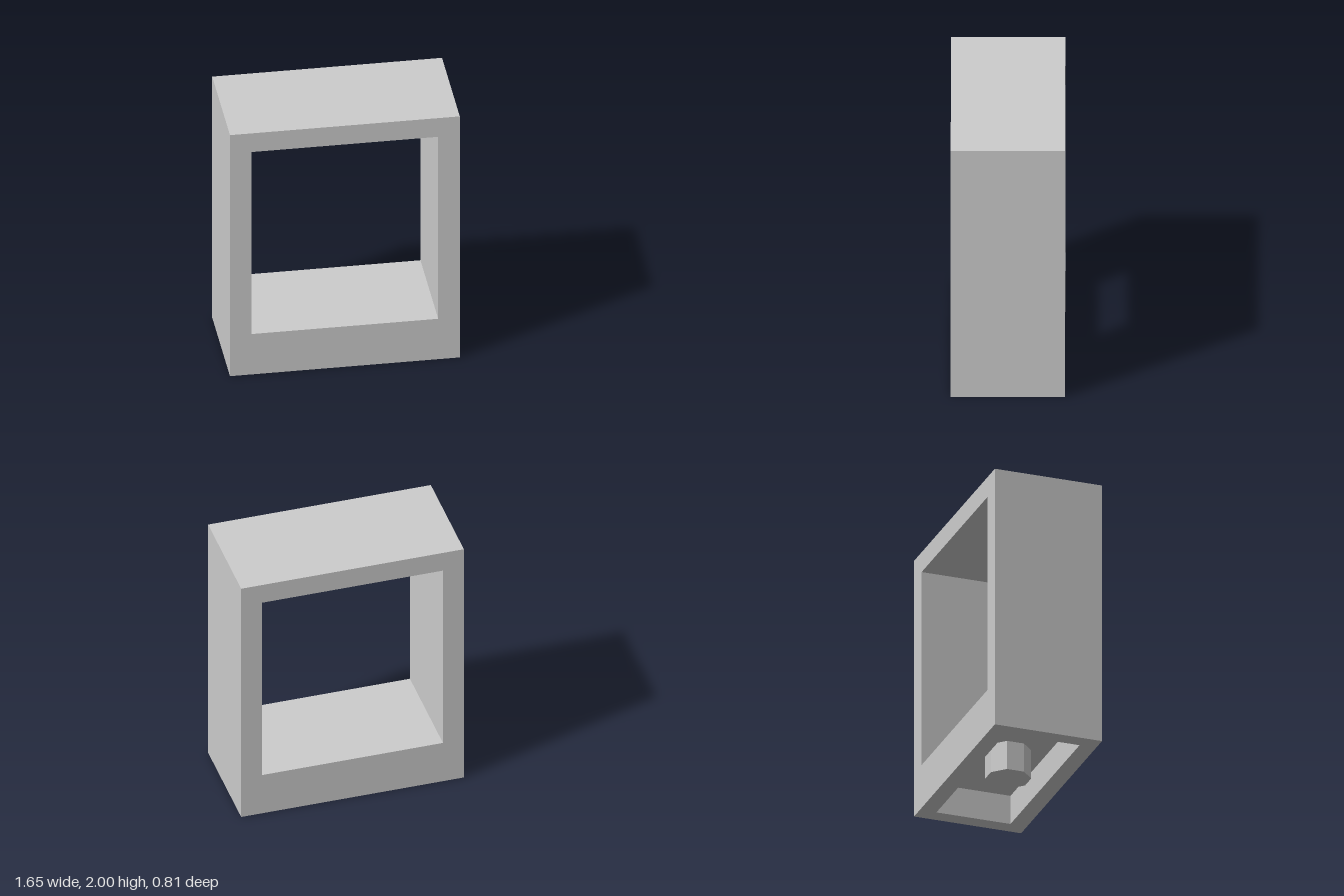
import * as THREE from 'three';

const W = 1.65, H = 2, D = 0.81;              // outer size
const OPEN_W = 1.34, OPEN_LOW = 0.335, OPEN_TOP = 1.845;
const CAV_W = 1.41, CAV_H = 0.22, CAV_D = 0.56;

// Chosen sides of a box (0..5 = +x -x +y -y +z -z), optionally facing inwards
function boxSides(w, h, d, sides, inward = false) {
  const geo = new THREE.BoxGeometry(w, h, d);
  const source = Array.from(geo.index.array);
  const index = sides.flatMap((s) => source.slice(s * 6, s * 6 + 6));
  if (inward) {
    index.reverse();
    geo.attributes.normal.array.forEach((v, i, a) => { a[i] = -v; });
  }
  geo.clearGroups();
  geo.setIndex(index);
  return geo;
}

// Flat rectangle with a rectangular hole, facing +z
function rectWithHole(w, h, holeW, holeLow, holeTop) {
  const corners = (a, b, lo, hi) =>
    [[a, lo], [b, lo], [b, hi], [a, hi]].map(([x, y]) => new THREE.Vector2(x, y));
  const shape = new THREE.Shape(corners(-w / 2, w / 2, -h / 2, h / 2));
  shape.holes.push(new THREE.Path(corners(-holeW / 2, holeW / 2, holeLow, holeTop).reverse()));
  return new THREE.ShapeGeometry(shape);
}

export function createModel() {
  const model = new THREE.Group();
  model.name = 'openFrame';
  const grey = new THREE.MeshStandardMaterial({ color: 0xcccccc });
  grey.name = 'lightGrey';

  const add = (name, geo, y, z = 0) => {
    const mesh = new THREE.Mesh(geo, grey);
    mesh.name = name;
    mesh.position.set(0, y, z);
    model.add(mesh);
    return mesh;
  };

  // Outer top and sides
  add('outerShell', boxSides(W, H, D, [0, 1, 2]), H / 2);

  // Front and back faces around the window opening
  const face = rectWithHole(W, H, OPEN_W, OPEN_LOW - H / 2, OPEN_TOP - H / 2);
  add('frontFace', face, H / 2, D / 2);
  add('backFace', face, H / 2, -D / 2).rotation.y = Math.PI;

  // Inside walls of the window opening
  add('openingWalls', boxSides(OPEN_W, OPEN_TOP - OPEN_LOW, D, [0, 1, 2, 3], true),
    (OPEN_LOW + OPEN_TOP) / 2);

  // Underside rim and the recess in the base
  add('bottomRim', rectWithHole(W, D, CAV_W, -CAV_D / 2, CAV_D / 2), 0).rotation.x = Math.PI / 2;
  add('baseRecess', boxSides(CAV_W, CAV_H, CAV_D, [0, 1, 2, 4, 5], true), CAV_H / 2);

  // Eight-sided post in the recess, flat sides along the axes
  const post = new THREE.CylinderGeometry(0.165, 0.165, CAV_H, 8).rotateY(Math.PI / 8).toNonIndexed();
  post.computeVertexNormals();
  add('mountingPost', post, CAV_H / 2);

  return model;
}
